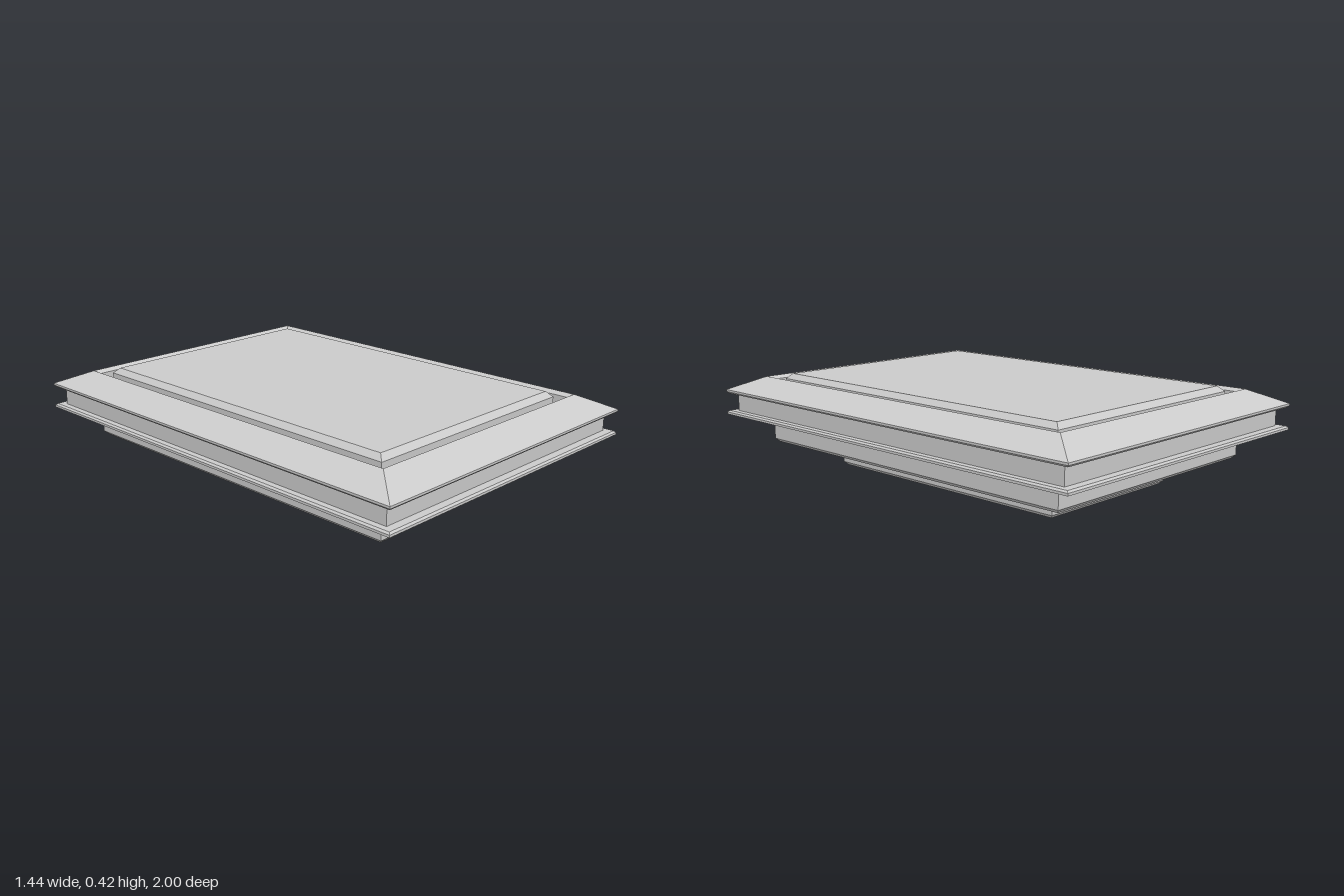
import * as THREE from 'three';

// Skin a stack of rectangular rings [halfX, halfZ, y], listed from the top,
// outward and down (and back up the inside for hollow parts).
function loftRects(name, rings, { top = false, bottom = false } = {}) {
  const pos = [];
  const corner = ([x, z, y], i) => {
    const [sx, sz] = [[1, 1], [1, -1], [-1, -1], [-1, 1]][i % 4];
    return [x * sx, y, z * sz];
  };
  const quad = (a, b, c, d) => pos.push(...a, ...b, ...c, ...a, ...c, ...d);
  for (let r = 0; r < rings.length - 1; r++) {
    const A = rings[r], B = rings[r + 1];
    for (let i = 0; i < 4; i++) {
      quad(corner(B, i), corner(B, i + 1), corner(A, i + 1), corner(A, i));
    }
  }
  if (top) quad(...[0, 1, 2, 3].map(i => corner(rings[0], i)));
  if (bottom) quad(...[3, 2, 1, 0].map(i => corner(rings[rings.length - 1], i)));

  const geo = new THREE.BufferGeometry();
  geo.setAttribute('position', new THREE.Float32BufferAttribute(pos, 3));
  geo.computeVertexNormals();
  const mesh = new THREE.Mesh(geo, new THREE.MeshStandardMaterial({
    color: 0xcccccc, flatShading: true,
  }));
  mesh.name = name;
  return mesh;
}

// Rectangular skirt with chamfered lower edge and flat rim, hollow up to a ceiling
function skirt(name, x, z, yBottom, rim, yCeiling, closed) {
  return loftRects(name, [
    [x, z, 0.188],
    [x, z, yBottom + 0.015],
    [x - 0.015, z - 0.015, yBottom],
    [x - rim, z - rim, yBottom],
    [x - rim, z - rim, yCeiling],
  ], { bottom: closed });
}

export function createModel() {
  const model = new THREE.Group();
  model.name = 'steppedPanel';

  // Main slab: deep groove on top, sloped border, two lips around a set-back band
  model.add(loftRects('slab', [
    [0.575, 0.838, 0.345],
    [0.575, 0.838, 0.395],
    [0.595, 0.86, 0.408],
    [0.718, 1.0, 0.347],
    [0.718, 1.0, 0.338],
    [0.71, 0.992, 0.33],
    [0.684, 0.957, 0.33],
    [0.684, 0.957, 0.252],
    [0.71, 0.992, 0.252],
    [0.718, 1.0, 0.245],
    [0.718, 1.0, 0.235],
    [0.577, 0.84, 0.188],
  ], { top: true, bottom: true }));

  // Raised centre panel with bevelled edge, standing in the groove
  model.add(loftRects('raisedPanel', [
    [0.513, 0.775, 0.421],
    [0.535, 0.8, 0.398],
    [0.535, 0.8, 0.345],
  ], { top: true }));

  // Two nested hollow skirts underneath
  model.add(skirt('outerSkirt', 0.577, 0.84, 0.11, 0.045, 0.188, false));
  model.add(skirt('innerSkirt', 0.36, 0.625, 0, 0.06, 0.145, true));

  return model;
}
